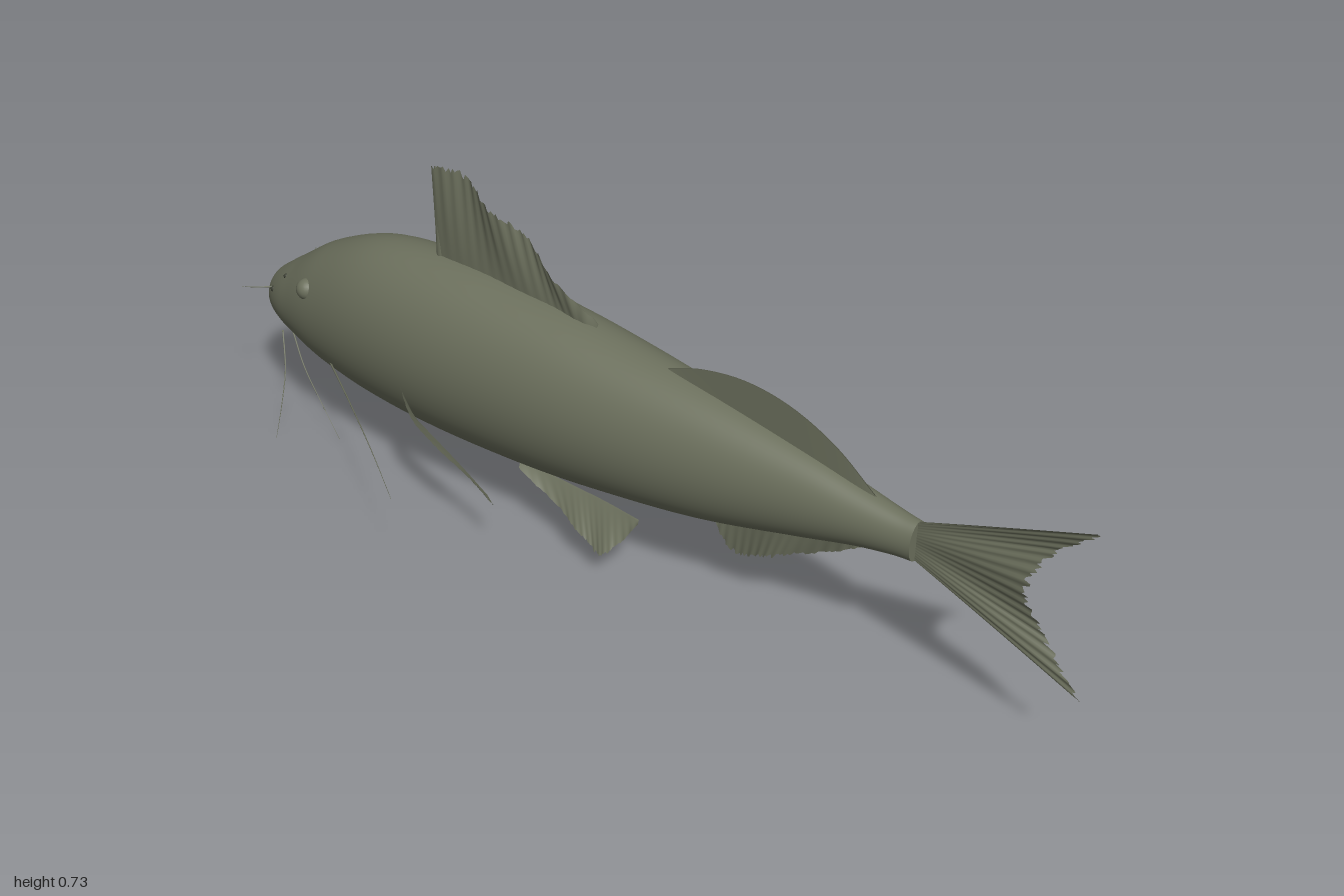
import * as THREE from 'three';

const V = (p) => new THREE.Vector3(p[0], p[1], p[2] || 0);
const curve = (pts) => new THREE.CatmullRomCurve3(pts.map(V));

// Body stations: x, top y, bottom y, half width
const STATIONS = [
  [-1.0, 0.305, 0.235, 0.036], [-0.985, 0.33, 0.219, 0.05], [-0.95, 0.357, 0.207, 0.071],
  [-0.9, 0.392, 0.19, 0.09], [-0.8, 0.457, 0.158, 0.116], [-0.65, 0.513, 0.135, 0.138],
  [-0.45, 0.527, 0.127, 0.147], [-0.2, 0.513, 0.138, 0.141], [0, 0.49, 0.16, 0.126],
  [0.2, 0.461, 0.19, 0.1], [0.4, 0.423, 0.24, 0.067], [0.52, 0.396, 0.273, 0.048],
  [0.6, 0.38, 0.288, 0.035], [0.64, 0.375, 0.29, 0.028],
];

// Half width of the body surface at a given x and y
function bodyZ(x, y) {
  let i = 0;
  while (i < STATIONS.length - 2 && STATIONS[i + 1][0] < x) i++;
  const a = STATIONS[i], b = STATIONS[i + 1], t = (x - a[0]) / (b[0] - a[0]);
  const [top, bot, w] = [1, 2, 3].map((k) => a[k] + (b[k] - a[k]) * t);
  const r = (y - (top + bot) / 2) / ((top - bot) / 2);
  return w * Math.sqrt(Math.max(0, 1 - r * r));
}

function geometry(pos, idx) {
  const g = new THREE.BufferGeometry();
  g.setAttribute('position', new THREE.Float32BufferAttribute(pos, 3));
  g.setIndex(idx);
  g.computeVertexNormals();
  return g;
}

// Elliptical rings lofted along x, with flat caps at snout and tail root
function bodyGeometry() {
  const rings = 78, seg = 56, pos = [], idx = [];
  const outline = new THREE.CatmullRomCurve3(STATIONS.map((s) => V(s)), false, 'catmullrom');
  const width = new THREE.CatmullRomCurve3(STATIONS.map((s) => V([s[0], s[3], 0])), false, 'catmullrom');
  const ring = (t) => {
    const start = pos.length / 3, o = outline.getPoint(t), w = width.getPoint(t).y;
    for (let j = 0; j < seg; j++) {
      const a = (j / seg) * Math.PI * 2;
      pos.push(o.x, (o.y + o.z) / 2 + ((o.y - o.z) / 2) * Math.cos(a), w * Math.sin(a));
    }
    return start;
  };
  for (let i = 0; i <= rings; i++) ring(i / rings);
  for (let i = 0; i < rings; i++) {
    for (let j = 0; j < seg; j++) {
      const a = i * seg + j, b = i * seg + ((j + 1) % seg);
      idx.push(a, b, a + seg, b, b + seg, a + seg);
    }
  }
  // snout cap bulges slightly and shares the first ring
  pos.push(-1.003, 0.27, 0);
  const nose = pos.length / 3 - 1;
  for (let j = 0; j < seg; j++) idx.push(nose, (j + 1) % seg, j);
  // tail cap has its own ring for a sharp edge
  const start = ring(1);
  pos.push(0.64, 0.3325, 0);
  const end = pos.length / 3 - 1;
  for (let j = 0; j < seg; j++) idx.push(end, start + j, start + ((j + 1) % seg));
  return geometry(pos, idx);
}

// Fin membrane between a root curve and a free edge, rippled, tapered and frayed
function finGeometry(root, edge, { ripple = 0, waves = 3, thick = 0.002, fray = 0 }) {
  const nu = 72, nv = 10, pos = [], idx = [], a = curve(root), b = curve(edge);
  for (const side of [1, -1]) {
    const start = pos.length / 3;
    for (let i = 0; i <= nu; i++) {
      const u = i / nu, p = a.getPoint(u), q = b.getPoint(u);
      const notch = 1 - fray * (0.5 + 0.5 * Math.sin(i * i * 1.7 + i));
      for (let j = 0; j <= nv; j++) {
        const v = j / nv, m = p.clone().lerp(q, v * notch);
        const wave = Math.sin(u * waves * 6.283 + v * 1.2) + 0.25 * Math.sin(u * 95);
        pos.push(m.x, m.y, m.z + ripple * wave * v + side * thick * (1 - 0.8 * v));
      }
    }
    for (let i = 0; i < nu; i++) {
      for (let j = 0; j < nv; j++) {
        const c = start + i * (nv + 1) + j, d = c + nv + 1;
        if (side > 0) idx.push(c, d, c + 1, d, d + 1, c + 1);
        else idx.push(c, c + 1, d, d, c + 1, d + 1);
      }
    }
  }
  return geometry(pos, idx);
}

// Whisker that thins toward its tip
function whiskerGeometry(pts, radius) {
  const path = curve(pts), seg = 24, sides = 6;
  const g = new THREE.TubeGeometry(path, seg, radius, sides, false);
  const p = g.attributes.position, v = new THREE.Vector3();
  for (let i = 0; i < p.count; i++) {
    const t = Math.floor(i / (sides + 1)) / seg, c = path.getPointAt(t);
    v.fromBufferAttribute(p, i).sub(c).multiplyScalar(1 - 0.8 * t).add(c);
    p.setXYZ(i, v.x, v.y, v.z);
  }
  return g;
}

export function createModel() {
  const model = new THREE.Group();
  model.name = 'catfish';
  const skin = new THREE.MeshStandardMaterial({ color: 0x6c705d });
  skin.name = 'olive grey skin';
  skin.side = THREE.DoubleSide;
  const dark = new THREE.MeshStandardMaterial({ color: 0x3c3f34 });
  dark.name = 'dark olive';
  const add = (name, geo, mat = skin) => {
    const m = new THREE.Mesh(geo, mat);
    m.name = name;
    model.add(m);
    return m;
  };

  add('body', bodyGeometry());

  // Fins on the centre line
  add('dorsalFin', finGeometry(
    [[-0.505, 0.5], [-0.35, 0.5], [-0.2, 0.49], [-0.1, 0.48]],
    [[-0.5, 0.735], [-0.43, 0.73], [-0.36, 0.685], [-0.28, 0.65], [-0.2, 0.585], [-0.09, 0.51]],
    { ripple: 0.007, waves: 2.5, thick: 0.003, fray: 0.06 }));
  add('dorsalSpine', whiskerGeometry([[-0.497, 0.5], [-0.498, 0.62], [-0.497, 0.725]], 0.008));
  add('adiposeFin', finGeometry(
    [[0.07, 0.46], [0.25, 0.44], [0.4, 0.41], [0.55, 0.37]],
    [[0.08, 0.478], [0.16, 0.507], [0.26, 0.52], [0.36, 0.505], [0.46, 0.46], [0.55, 0.39]],
    { thick: 0.005 }));
  add('analFin', finGeometry(
    [[0.2, 0.21], [0.3, 0.24], [0.42, 0.27], [0.54, 0.29]],
    [[0.2, 0.185], [0.245, 0.115], [0.3, 0.13], [0.36, 0.165], [0.45, 0.21], [0.54, 0.275]],
    { ripple: 0.005, waves: 2, fray: 0.1 }));
  add('tailFin', finGeometry(
    [[0.63, 0.295], [0.63, 0.332], [0.63, 0.37]],
    [[1.0, 0.145], [0.93, 0.215], [0.885, 0.27], [0.865, 0.335], [0.885, 0.4], [0.93, 0.455], [0.99, 0.515]],
    { ripple: 0.007, waves: 2, thick: 0.003, fray: 0.06 }));

  // Paired fins, barbels and face details
  for (const s of [1, -1]) {
    const side = s > 0 ? 'left' : 'right';
    const mir = (pts) => pts.map(([x, y, z]) => [x, y, z * s]);
    add(side + 'PectoralFin', finGeometry(
      mir([[-0.5, 0.195, 0.115], [-0.42, 0.19, 0.14], [-0.32, 0.165, 0.16], [-0.24, 0.135, 0.172]]),
      mir([[-0.5, 0.28, 0.138], [-0.43, 0.24, 0.178], [-0.36, 0.215, 0.19], [-0.28, 0.172, 0.182], [-0.2, 0.14, 0.197]]),
      { ripple: 0.002, waves: 1.5 }));
    add(side + 'PelvicFin', finGeometry(
      mir([[-0.25, 0.155, 0.055], [-0.12, 0.145, 0.05], [-0.04, 0.143, 0.05], [0.055, 0.14, 0.055]]),
      mir([[-0.24, 0.148, 0.07], [-0.12, 0.1, 0.085], [-0.05, 0.075, 0.1], [0.0, 0.06, 0.113], [0.03, 0.085, 0.095], [0.06, 0.137, 0.06]]),
      { ripple: 0.003, waves: 3, fray: 0.06 }));

    add(side + 'LongBarbel', whiskerGeometry(
      mir([[-0.75, 0.22, 0.1], [-0.6, 0.222, 0.19], [-0.45, 0.215, 0.28], [-0.32, 0.2, 0.36]]), 0.002));
    add(side + 'OuterChinBarbel', whiskerGeometry(
      mir([[-0.94, 0.21, 0.06], [-0.9, 0.14, 0.1], [-0.885, 0.07, 0.135], [-0.88, 0.0, 0.165]]), 0.002));
    add(side + 'InnerChinBarbel', whiskerGeometry(
      mir([[-0.93, 0.2, 0.04], [-0.87, 0.145, 0.07], [-0.8, 0.09, 0.093], [-0.73, 0.03, 0.112]]), 0.002));
    add(side + 'NasalBarbel', whiskerGeometry(
      mir([[-0.96, 0.31, 0.05], [-0.985, 0.315, 0.085], [-0.997, 0.325, 0.112]]), 0.002));

    const eye = add(side + 'Eye', new THREE.SphereGeometry(0.024, 20, 14));
    eye.position.set(-0.81, 0.375, s * (bodyZ(-0.81, 0.375) - 0.01));
    for (const [name, x, y, r] of [['Nostril', -0.91, 0.357, 0.006], ['FrontNostril', -0.955, 0.31, 0.007]]) {
      const pit = add(side + name, new THREE.SphereGeometry(r, 10, 8), dark);
      pit.position.set(x, y, s * (bodyZ(x, y) - 0.003));
    }
  }
  return model;
}
